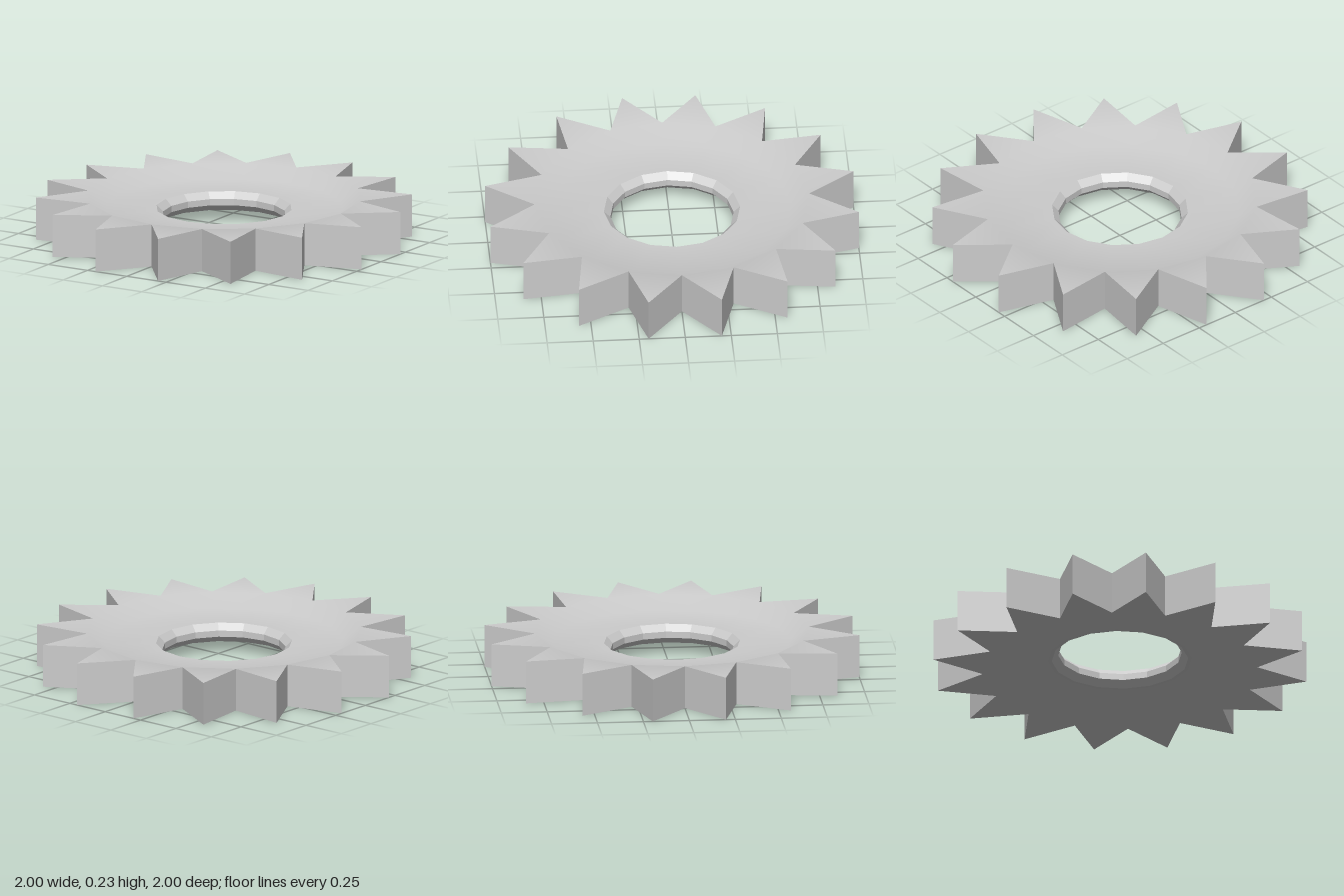
import * as THREE from 'three';

const TEETH = 16;
const STEP = (Math.PI * 2) / TEETH;
const HEIGHT = 0.235;
const TIP_R = 1 / Math.cos(STEP / 2);
const VALLEY_R = 0.745;
const WEB_R = 0.65;
const BORE_R = 0.37;
const RECESS = 0.065;

const polar = (r, y, a) => [r * Math.sin(a), y, r * Math.cos(a)];

function toGeometry(positions, index) {
  const geometry = new THREE.BufferGeometry();
  geometry.setAttribute('position', new THREE.Float32BufferAttribute(positions, 3));
  geometry.setIndex(index);
  geometry.computeVertexNormals();
  return geometry;
}

// Smooth face: sunken web, sloping shoulder and flat tooth tops
function faceGeometry() {
  const rings = [
    [BORE_R, HEIGHT - RECESS, 0],
    [WEB_R, HEIGHT - RECESS, 0],
    [VALLEY_R, HEIGHT, 0],
    [TIP_R, HEIGHT, STEP / 2],
  ];
  const positions = [];
  const index = [];
  for (const [r, y, offset] of rings) {
    for (let i = 0; i < TEETH; i++) positions.push(...polar(r, y, i * STEP + offset));
  }
  for (let i = 0; i < TEETH; i++) {
    const next = (i + 1) % TEETH;
    for (let ring = 0; ring < 2; ring++) {
      const a = ring * TEETH;
      const b = a + TEETH;
      index.push(a + i, b + i, b + next, a + i, b + next, a + next);
    }
    index.push(2 * TEETH + i, 3 * TEETH + i, 2 * TEETH + next);
  }
  return toGeometry(positions, index);
}

// Upright zigzag wall around the teeth
function wallGeometry() {
  const positions = [];
  const index = [];
  const count = TEETH * 2;
  for (let i = 0; i < count; i++) {
    const r = i % 2 ? TIP_R : VALLEY_R;
    const a = (i * STEP) / 2;
    positions.push(...polar(r, 0, a), ...polar(r, HEIGHT, a));
    const p = i * 2;
    const q = ((i + 1) % count) * 2;
    index.push(p, q, q + 1, p, q + 1, p + 1);
  }
  return toGeometry(positions, index);
}

export function createModel() {
  const group = new THREE.Group();
  group.name = 'toothedWheel';
  const smooth = new THREE.MeshStandardMaterial({ color: 0xcccccc });
  const flat = new THREE.MeshStandardMaterial({ color: 0xcccccc, flatShading: true });

  const add = (name, geometry, material) => {
    const mesh = new THREE.Mesh(geometry, material);
    mesh.name = name;
    group.add(mesh);
    return mesh;
  };

  const face = faceGeometry();
  add('topFace', face, smooth);
  const bottom = add('bottomFace', face, smooth);
  bottom.rotation.x = Math.PI;
  bottom.position.y = HEIGHT;

  add('toothWalls', wallGeometry(), flat);

  // Bore chamfered at both ends
  const bore = [
    [BORE_R, HEIGHT - RECESS],
    [0.335, 0.135],
    [0.335, 0.1],
    [BORE_R, RECESS],
  ].map(([r, y]) => new THREE.Vector2(r, y));
  add('bore', new THREE.LatheGeometry(bore, TEETH), flat);

  return group;
}
